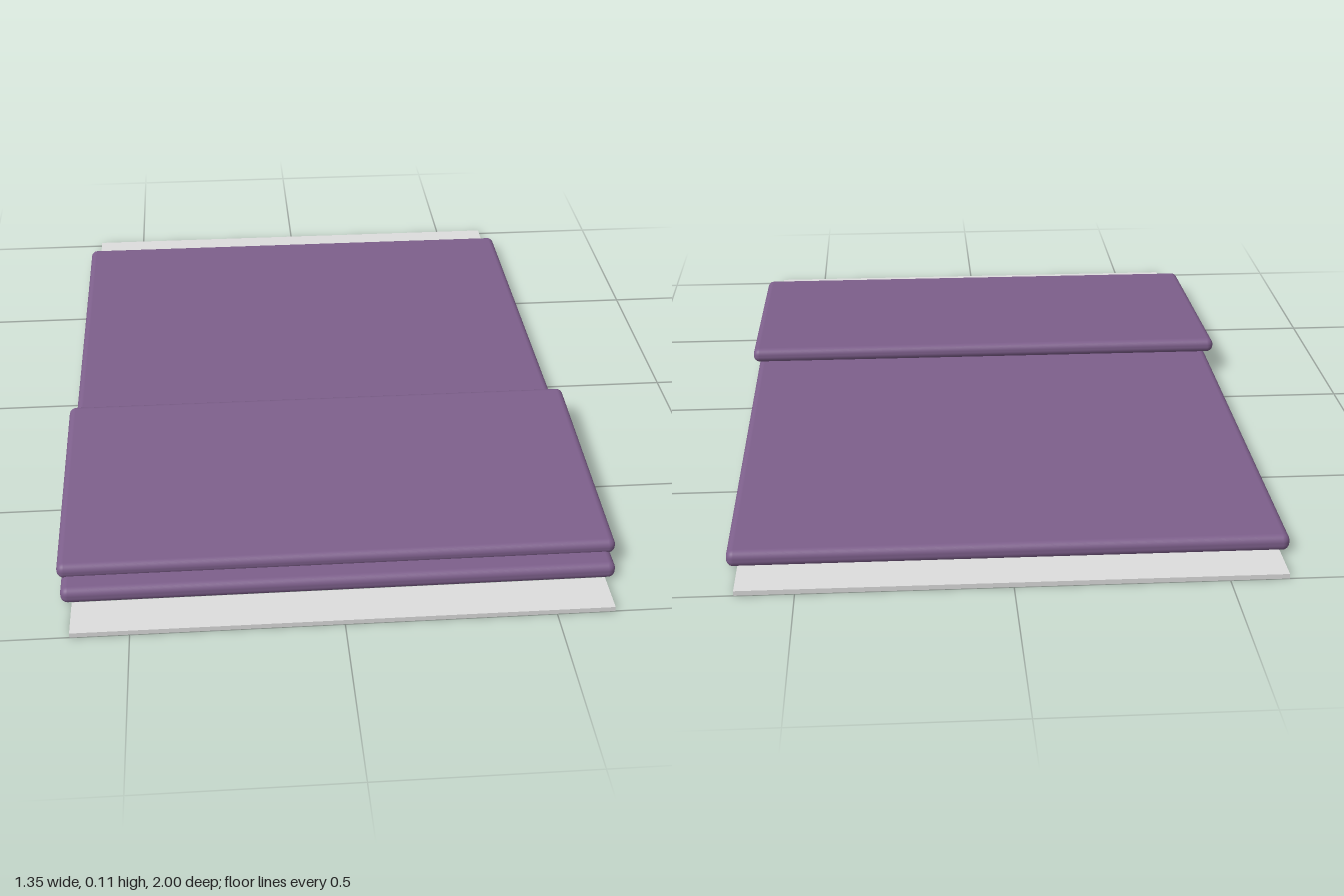
import * as THREE from 'three';
import { RoundedBoxGeometry } from 'three/addons/geometries/RoundedBoxGeometry.js';

export function createModel() {
  const group = new THREE.Group();
  const purple = new THREE.MeshStandardMaterial({ color: 0x7d5f8b });
  purple.name = 'purple cloth';
  const pale = new THREE.MeshStandardMaterial({ color: 0xdcdcdc });
  pale.name = 'pale grey trim';

  const add = (name, geometry, material, x, y, z) => {
    const mesh = new THREE.Mesh(geometry, material);
    mesh.name = name;
    mesh.position.set(x, y, z);
    group.add(mesh);
    return mesh;
  };

  // Main blanket lying flat
  add('blanket', new RoundedBoxGeometry(1.33, 0.042, 1.775, 4, 0.018), purple, 0, 0.024, 0);

  // Slightly wider folded part, its back edge raised
  const fold = add('foldedFlap', new RoundedBoxGeometry(1.35, 0.04, 0.667, 4, 0.018), purple, 0, 0.07, 0.5);
  fold.rotation.x = 0.05;

  // Thin trim strips at both ends
  for (const side of [1, -1]) {
    add(side > 0 ? 'frontTrim' : 'backTrim',
      new THREE.BoxGeometry(1.276, 0.012, 0.112), pale, 0, 0.006, side * 0.944);
  }
  return group;
}
